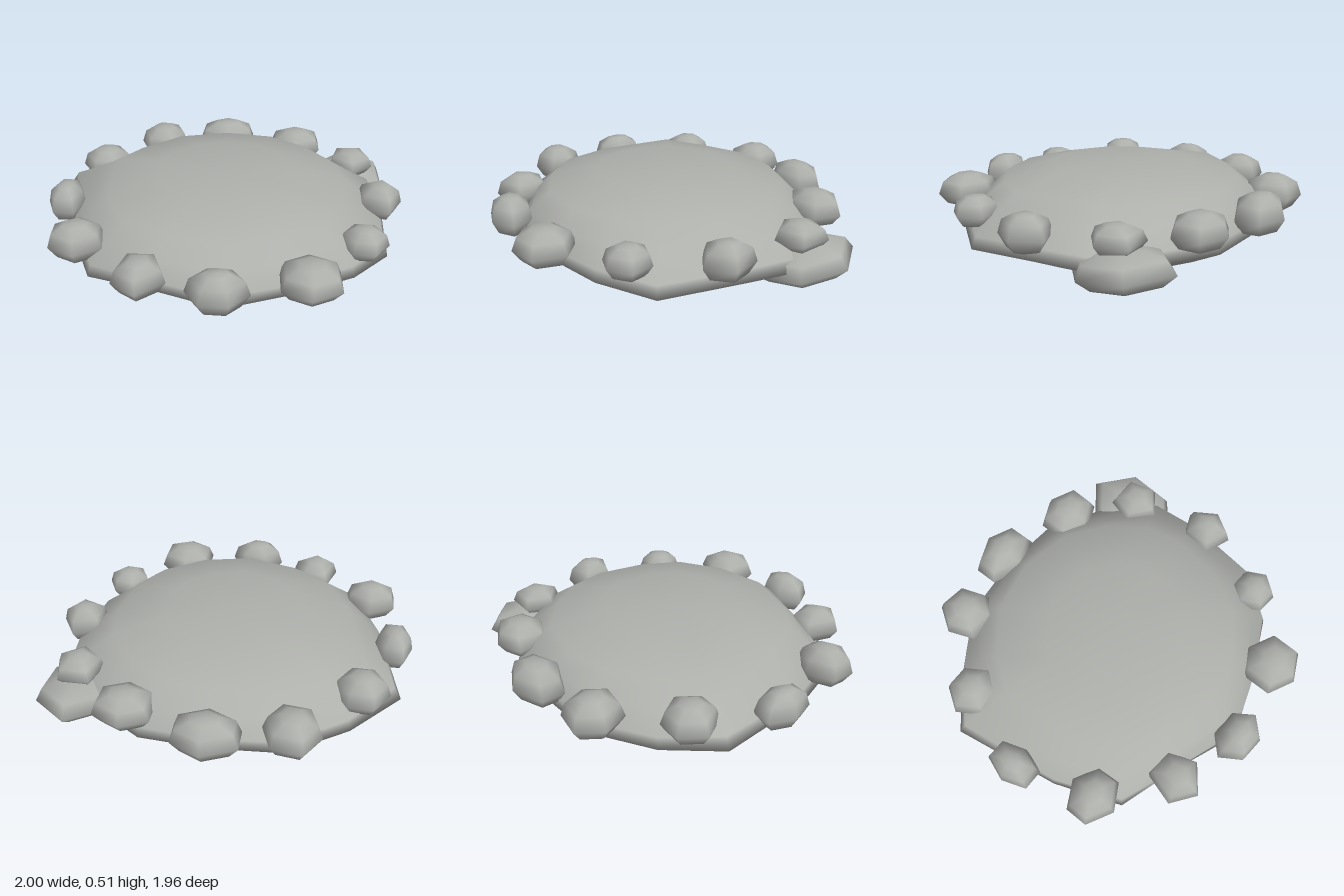
import * as THREE from 'three';
import { mergeVertices } from 'three/addons/utils/BufferGeometryUtils.js';

// Smooth low-poly solid: a plan outline [x, z, rim lift] scaled through
// profile rings [scale, y, roundness], where roundness pulls a ring toward a circle
function loft(outline, profile) {
  const n = outline.length, positions = [], index = [];
  profile.forEach(([s, y, round = 0]) => outline.forEach(([x, z, lift = 0]) => {
    const f = s * (1 - round + (round * 0.87) / Math.hypot(x, z));
    positions.push(x * f, y + lift * s ** 4, z * f);
  }));
  for (let i = 0; i < profile.length - 1; i++) {
    for (let j = 0; j < n; j++) {
      const k = (j + 1) % n;
      const a = i * n + j, b = i * n + k, c = a + n, d = b + n;
      if (profile[i][0] > 0) index.push(a, c, b);
      if (profile[i + 1][0] > 0) index.push(b, c, d);
    }
  }
  let geometry = new THREE.BufferGeometry();
  geometry.setAttribute('position', new THREE.Float32BufferAttribute(positions, 3));
  geometry.setIndex(index);
  geometry = mergeVertices(geometry);
  geometry.computeVertexNormals();
  return geometry;
}

// Slightly uneven polygon with a corner at the given angle, stretched to fill a unit box
function stoneOutline(sides, turn, seed) {
  const points = [];
  for (let j = 0; j < sides; j++) {
    const a = turn + (j * 2 * Math.PI) / sides + 0.06 * Math.sin(seed * 3.1 + j * 2.3);
    points.push([Math.cos(a), Math.sin(a)]);
  }
  const fit = [0, 1].map((axis) => {
    const v = points.map((p) => p[axis]);
    const min = Math.min(...v), max = Math.max(...v);
    return (q) => (2 * (q - min)) / (max - min) - 1;
  });
  return points.map(([x, z]) => [fit[0](x), fit[1](z)]);
}

export function createModel() {
  const group = new THREE.Group();
  const stone = new THREE.MeshStandardMaterial({ color: 0xaeb0ac });
  stone.name = 'stone grey';

  // Wide flattened boulder
  const bodyOutline = [
    [0.91, -0.08], [0.88, 0.34, -0.03], [0.67, 0.58], [0.35, 0.73], [0, 0.85], [-0.35, 0.71],
    [-0.69, 0.6], [-0.83, 0.24], [-0.94, -0.34, 0.05], [-0.69, -0.57],
    [-0.38, -0.78], [0, -0.81], [0.36, -0.79], [0.63, -0.62], [0.89, -0.38],
  ];
  const bodyProfile = [
    [0, 0], [0.42, 0.025], [0.75, 0.095], [1, 0.205],
    [0.985, 0.265, 0.2], [0.88, 0.35, 0.6], [0.76, 0.435, 0.8], [0.44, 0.5, 0.8], [0, 0.51],
  ];
  const body = new THREE.Mesh(loft(bodyOutline, bodyProfile), stone);
  body.name = 'centralSlab';
  group.add(body);

  // Rim stones: centre x, y, z, half sizes x, y, z, sides, corner angle
  const rim = [
    [0, 0.32, -0.84, 0.17, 0.115, 0.14, 6, 1.57],
    [0.44, 0.33, -0.715, 0.15, 0.1, 0.147, 6, 1.57],
    [0.76, 0.335, -0.44, 0.13, 0.08, 0.13, 5, 1.57],
    [0.88, 0.32, -0.01, 0.12, 0.105, 0.14, 5, 0],
    [0.73, 0.32, 0.435, 0.13, 0.09, 0.115, 6, 0.1],
    [0.43, 0.32, 0.77, 0.15, 0.1, 0.16, 6, 1.57],
    [-0.02, 0.315, 0.865, 0.16, 0.115, 0.11, 6, 0.1],
    [-0.405, 0.31, 0.75, 0.135, 0.1, 0.14, 5, 1.57],
    [-0.76, 0.33, 0.46, 0.14, 0.11, 0.14, 6, 1.57],
    [-0.895, 0.32, 0.025, 0.105, 0.11, 0.135, 6, 0],
    [-0.73, 0.335, -0.41, 0.15, 0.105, 0.13, 6, 0],
    [-0.41, 0.325, -0.755, 0.15, 0.11, 0.145, 6, 0.1],
  ];
  const pebbleProfile = [[0, -1], [0.72, -0.65], [1, -0.05], [0.84, 0.62], [0.42, 0.95], [0, 1]];
  const addStone = ([x, y, z, sx, sy, sz, sides, turn], seed, name) => {
    const outline = stoneOutline(sides, turn, seed).map(([px, pz]) => [px * sx, pz * sz]);
    const profile = pebbleProfile.map(([s, h]) => [s, h * sy]);
    const mesh = new THREE.Mesh(loft(outline, profile), stone);
    mesh.position.set(x, y, z);
    mesh.name = name;
    group.add(mesh);
    return mesh;
  };
  rim.forEach((row, i) => addStone(row, i, 'rimStone' + (i + 1)));

  // Larger low stone tucked under the back left edge, tilted up toward the back
  const lower = addStone([0.765, 0.2, -0.485, 0.2, 0.1, 0.285, 6, 1.57], 20, 'lowerStone');
  lower.rotation.x = 0.12;
  return group;
}
